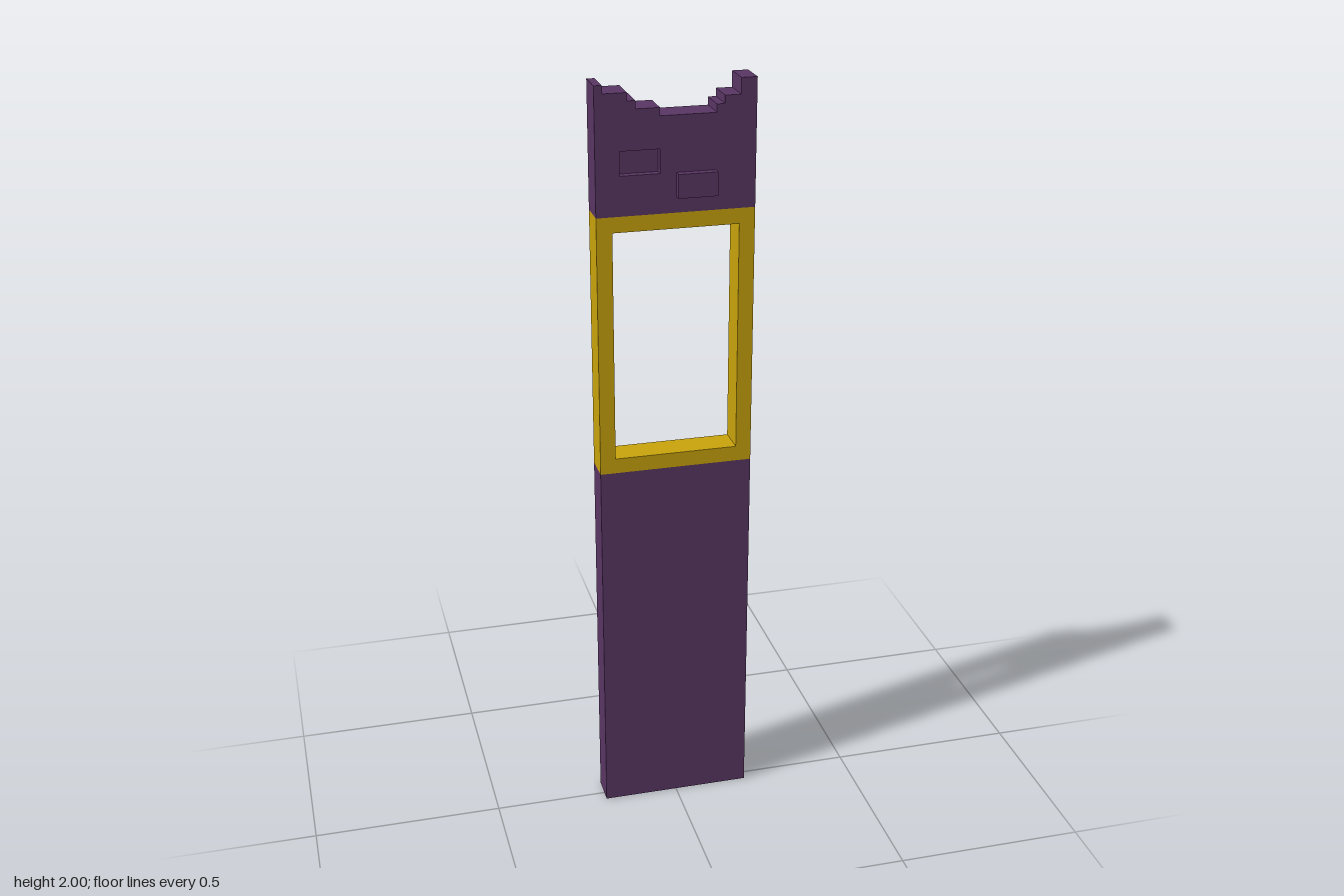
import * as THREE from 'three';

const BACK = -0.05, FRONT = 0.03, RECESS = 0.02;

// Closed outline from a list of [x, y] corners
const outline = (pts, Kind = THREE.Shape) => new Kind(pts.map(([x, y]) => new THREE.Vector2(x, y)));
const rect = (x0, y0, x1, y1, Kind) => outline([[x0, y0], [x1, y0], [x1, y1], [x0, y1]], Kind);

export function createModel() {
  const group = new THREE.Group();
  const purple = new THREE.MeshStandardMaterial({ color: 0x593564 });
  purple.name = 'purple';
  const gold = new THREE.MeshStandardMaterial({ color: 0xc9a30c });
  gold.name = 'gold';

  // Extrudes an outline between two depths
  const addSlab = (name, shape, z0, z1, material) => {
    const geometry = new THREE.ExtrudeGeometry(shape, { depth: z1 - z0, bevelEnabled: false });
    geometry.translate(0, 0, z0);
    const mesh = new THREE.Mesh(geometry, material);
    mesh.name = name;
    group.add(mesh);
  };

  // Lower panel
  addSlab('lowerPanel', rect(-0.2, 0, 0.2, 1), BACK, FRONT, purple);

  // Open window frame
  const frame = rect(-0.2, 1, 0.2, 1.68);
  frame.holes.push(rect(-0.16, 1.04, 0.16, 1.64, THREE.Path));
  addSlab('windowFrame', frame, BACK, FRONT, gold);

  // Upper panel with a stepped, broken top: [left x, right x, height]
  const steps = [
    [-0.2, -0.18, 2], [-0.18, -0.12, 1.98], [-0.12, -0.1, 1.96], [-0.1, -0.04, 1.94],
    [-0.04, 0.1, 1.92], [0.1, 0.12, 1.94], [0.12, 0.16, 1.96], [0.16, 0.2, 2],
  ];
  const top = steps.flatMap(([x0, x1, y]) => [[x0, y], [x1, y]]).reverse();
  const upper = () => outline([[-0.2, 1.68], [0.2, 1.68], ...top]);
  addSlab('upperPanelBack', upper(), BACK, FRONT - RECESS, purple);

  // Front layer of the upper panel, cut by a shallow recess
  const face = upper();
  face.holes.push(rect(-0.14, 1.78, -0.04, 1.84, THREE.Path));
  addSlab('upperPanelFace', face, FRONT - RECESS, FRONT, purple);

  // Raised block
  addSlab('raisedBlock', rect(0, 1.72, 0.1, 1.78), FRONT, 0.05, purple);

  return group;
}
